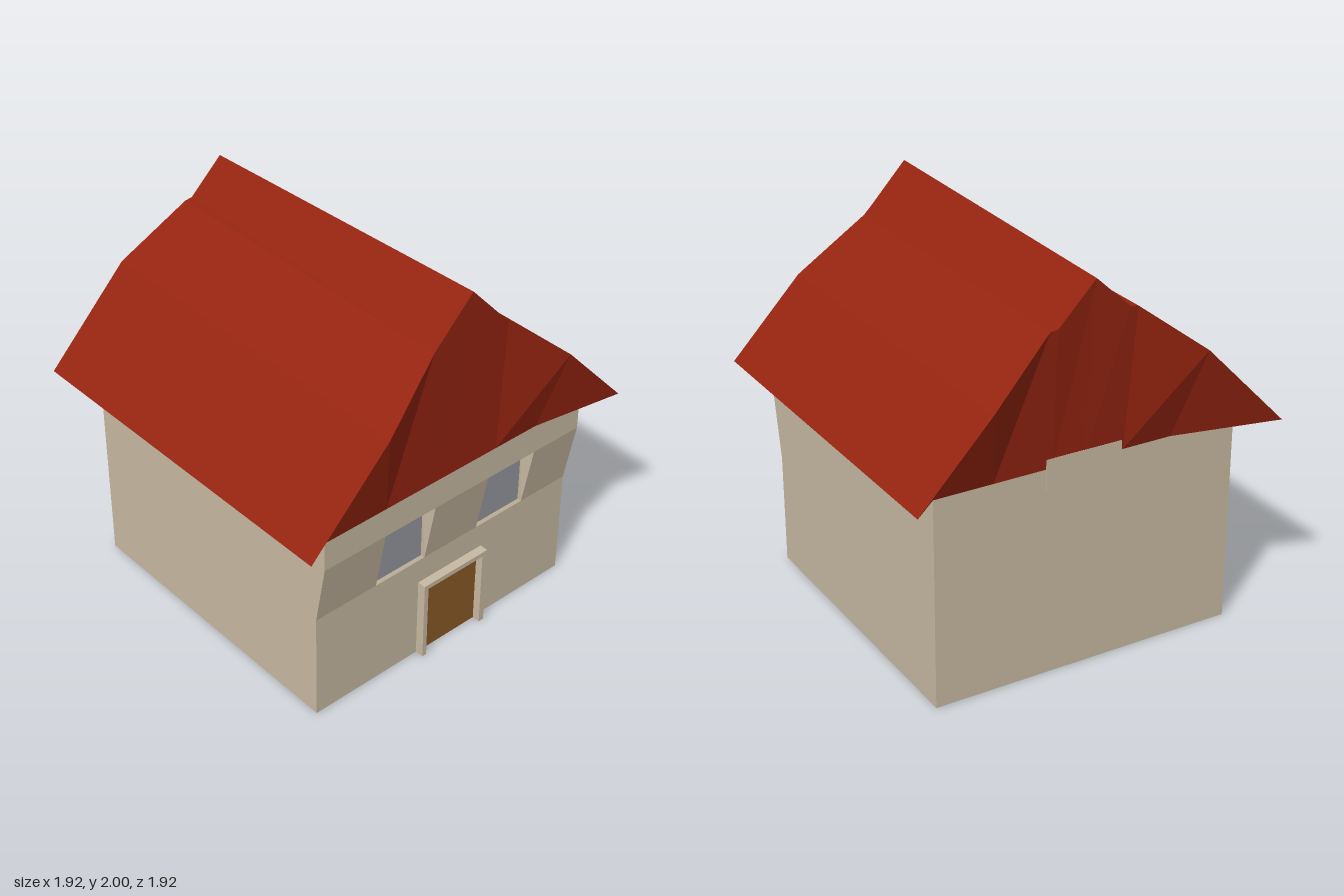
import * as THREE from 'three';

const mat = (color) => new THREE.MeshStandardMaterial({ color, flatShading: true, side: THREE.DoubleSide });
const wallMat = mat(0xc8baa2), roofMat = mat(0x942410), doorMat = mat(0x8c5a28), glassMat = mat(0x94979e);

// Mesh from a list of quads, each four [x, y, z] corners counter-clockwise
function quadMesh(name, quads, material) {
  const pos = quads.flatMap(([a, b, c, d]) => [a, b, c, a, c, d].flat());
  const geo = new THREE.BufferGeometry();
  geo.setAttribute('position', new THREE.Float32BufferAttribute(pos, 3));
  geo.computeVertexNormals();
  const mesh = new THREE.Mesh(geo, material);
  mesh.name = name;
  return mesh;
}

// Box given by its minimum and maximum corners
function boxMesh(name, x0, x1, y0, y1, z0, z1, material) {
  const mesh = new THREE.Mesh(new THREE.BoxGeometry(x1 - x0, y1 - y0, z1 - z0), material);
  mesh.position.set((x0 + x1) / 2, (y0 + y1) / 2, (z0 + z1) / 2);
  mesh.name = name;
  return mesh;
}

const W = 0.8, BACK = -0.8, FRONT = 0.86, EAVE = 1.06;

// Walls: the front leans out in the window band
function buildWalls() {
  const rows = [[0, 0.8], [0.575, 0.8], [0.905, FRONT], [EAVE, FRONT]];
  const cols = [-W, -0.44, -0.135, 0.2, 0.505, W];
  const quads = [];
  const group = new THREE.Group();
  group.name = 'walls';
  for (let r = 0; r < 3; r++) {
    const [y0, z0] = rows[r], [y1, z1] = rows[r + 1];
    quads.push([[W, y0, z0], [W, y0, BACK], [W, y1, BACK], [W, y1, z1]]);
    quads.push([[-W, y0, BACK], [-W, y0, z0], [-W, y1, z1], [-W, y1, BACK]]);
    for (let c = 0; c < 5; c++) {
      const outer = [[cols[c], y0, z0], [cols[c + 1], y0, z0], [cols[c + 1], y1, z1], [cols[c], y1, z1]];
      if (r !== 1 || c % 2 === 0) {
        quads.push(outer);
        continue;
      }
      // Window: tapered reveal around a recessed upright pane
      const i = 0.015, zp = 0.79;
      const pane = [[cols[c] + i, y0 + i, zp], [cols[c + 1] - i, y0 + i, zp],
        [cols[c + 1] - i, y1 - i, zp], [cols[c] + i, y1 - i, zp]];
      for (let k = 0; k < 4; k++) {
        const n = (k + 1) % 4;
        quads.push([outer[k], outer[n], pane[n], pane[k]]);
      }
      group.add(quadMesh('windowPane', [pane], glassMat));
    }
  }
  quads.push([[W, 0, BACK], [-W, 0, BACK], [-W, EAVE, BACK], [W, EAVE, BACK]]);
  quads.push([[-W, 0, BACK], [W, 0, BACK], [W, 0, 0.8], [-W, 0, 0.8]]);
  group.add(quadMesh('wallShell', quads, wallMat));
  return group;
}

// Roof: gable profile lofted front to back, sagging slightly at the rear ridge
function buildRoof() {
  // x, front y, back y, half depth, x where the gable meets the wall
  const profile = [
    [-0.96, 1.085, 1.085, 0.96, -W],
    [-0.52, 1.53, 1.53, 0.96, -0.44],
    [-0.19, 1.78, 1.78, 0.87, -0.18],
    [-0.15, 1.82, 1.785, 0.87, -0.14],
    [0.03, 2.0, 1.95, 0.87, 0.03],
    [0.22, 1.795, 1.755, 0.87, 0.2],
    [0.26, 1.755, 1.75, 0.87, 0.24],
    [0.59, 1.475, 1.475, 0.96, 0.5],
    [0.96, 1.085, 1.085, 0.96, W],
  ];
  const pts = profile.map(([x, yf, yb, z, xb]) => ({
    f: [x, yf, z], b: [x, yb, -z], wf: [xb, EAVE, FRONT], wb: [xb, EAVE, BACK],
  }));
  const quads = [];
  for (let i = 0; i < pts.length - 1; i++) {
    const p = pts[i], q = pts[i + 1];
    quads.push([p.f, q.f, q.b, p.b]);
    quads.push([p.wf, q.wf, q.f, p.f]);
    quads.push([q.wb, p.wb, p.b, q.b]);
  }
  // Eave undersides
  const l = pts[0], r = pts[pts.length - 1];
  quads.push([l.f, l.b, l.wb, l.wf], [r.wf, r.wb, r.b, r.f]);
  return quadMesh('roof', quads, roofMat);
}

// Door with a projecting frame
function buildDoor() {
  const group = new THREE.Group();
  group.name = 'doorway';
  group.add(
    boxMesh('door', -0.145, 0.21, 0, 0.415, 0.78, 0.804, doorMat),
    boxMesh('rightPost', -0.17, -0.145, 0, 0.44, 0.79, 0.845, wallMat),
    boxMesh('leftPost', 0.21, 0.24, 0, 0.44, 0.79, 0.845, wallMat),
    boxMesh('lintel', -0.145, 0.21, 0.415, 0.44, 0.79, 0.845, wallMat),
  );
  return group;
}

export function createModel() {
  const house = new THREE.Group();
  house.name = 'house';
  house.add(buildWalls(), buildRoof(), buildDoor());
  // Shallow patch under the rear gable
  house.add(boxMesh('backTrim', -0.17, 0.23, 0.96, 1.11, -0.82 + 0.014, -0.79, wallMat));
  return house;
}
